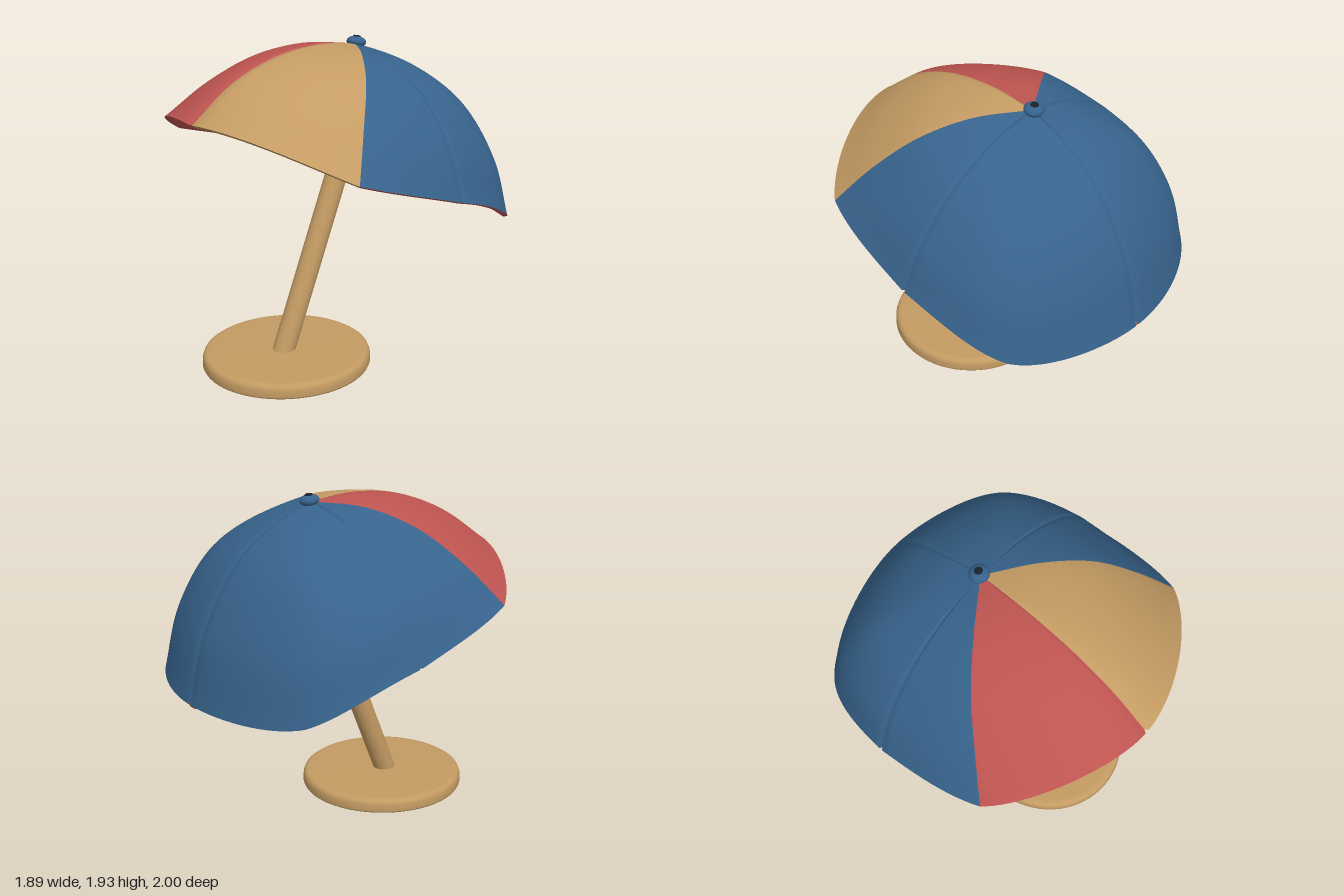
import * as THREE from 'three';

const mat = (name, color) => {
  const m = new THREE.MeshStandardMaterial({ color });
  m.name = name;
  return m;
};

export function createModel() {
  const tan = mat('tan', 0xc49b63);
  const red = mat('red', 0xbd5450);
  const blue = mat('blue', 0x37638c);
  const dark = mat('dark lining', 0x182229);
  const palette = [tan, red, blue, dark];
  const TAN = 0, RED = 1, BLUE = 2, DARK = 3;

  const model = new THREE.Group();
  model.name = 'tiltedParasol';
  const add = (name, geometry, material, parent = model) => {
    const mesh = new THREE.Mesh(geometry, material);
    mesh.name = name;
    parent.add(mesh);
    return mesh;
  };

  // Canopy ribs: apex to rim, running front, front side, side, back side, back
  const apex = [0, 1.88, -0.17];
  const halfRibs = [
    [[0, 1.905, 0.12], [0, 1.865, 0.45], [0, 1.75, 0.75], [0, 1.57, 1]],
    [[0.27, 1.865, 0.02], [0.5, 1.765, 0.2], [0.69, 1.57, 0.39], [0.85, 1.34, 0.56]],
    [[0.3, 1.82, -0.17], [0.6, 1.65, -0.16], [0.82, 1.4, -0.14], [0.945, 1.13, -0.12]],
    [[0.27, 1.77, -0.37], [0.52, 1.56, -0.54], [0.68, 1.22, -0.67], [0.75, 0.87, -0.73]],
    [[0, 1.79, -0.41], [0, 1.6, -0.67], [0, 1.24, -0.89], [0, 0.83, -1]],
  ];
  const mirrored = [3, 2, 1].map(k => halfRibs[k].map(([x, y, z]) => [-x, y, z]));
  const ribs = [...halfRibs, ...mirrored].map(points =>
    new THREE.CatmullRomCurve3([apex, ...points].map(p => new THREE.Vector3(...p))));

  // Canopy surface: rounded panels, flatter front side panels, narrow sunken seams
  const ROWS = 40, PER = 24, COLS = PER * 8;
  const centre = new THREE.Vector3(0, 1.25, -0.05);
  const outer = [];
  for (let i = 0; i <= ROWS; i++) {
    const t = i / ROWS;
    const tips = ribs.map(r => r.getPointAt(t));
    const ring = new THREE.CatmullRomCurve3(tips, true);
    const row = [];
    for (let j = 0; j < COLS; j++) {
      const seam = j % (2 * PER);
      // Columns beside a seam sit close to it
      const u = seam === 1 ? j - 0.6 : seam === 2 * PER - 1 ? j + 0.6 : j;
      const panel = Math.floor(u / PER), f = (u % PER) / PER;
      const p = i === 0 ? new THREE.Vector3(...apex) : ring.getPoint(u / COLS);
      if (panel === 1 || panel === 6) {
        p.lerp(tips[panel].clone().lerp(tips[panel + 1], f), 0.55);
      }
      // Rim arches slightly between the rib tips at front and side back
      const lift = [0.03, 0, 0.025, 0, 0, 0.025, 0, 0.03][panel];
      p.y += lift * Math.sin(Math.PI * f) * t ** 4;
      if (i > 0 && seam === 0) p.lerp(centre, 0.018);
      row.push(p);
    }
    outer.push(row);
  }
  const inner = outer.map(row => row.map(p => p.clone().lerp(centre, 0.052)));

  // Closed ring surface from rows of points, coloured per quad
  const surface = (rows, flip, colourOf) => {
    const positions = rows.flat().flatMap(p => [p.x, p.y, p.z]);
    const faces = palette.map(() => []);
    for (let i = 0; i < rows.length - 1; i++) {
      for (let j = 0; j < COLS; j++) {
        const k = (j + 1) % COLS;
        const a = i * COLS + j, b = a + COLS, c = i * COLS + k, d = c + COLS;
        const list = faces[colourOf((j + 0.5) / PER, (i + 0.5) / (rows.length - 1))];
        if (flip) list.push(a, c, b, c, d, b);
        else list.push(a, b, c, c, b, d);
      }
    }
    const g = new THREE.BufferGeometry();
    g.setAttribute('position', new THREE.Float32BufferAttribute(positions, 3));
    g.setIndex(faces.flat());
    let start = 0;
    faces.forEach((f, m) => {
      if (f.length) g.addGroup(start, f.length, m);
      start += f.length;
    });
    g.computeVertexNormals();
    return g;
  };

  // Outer cloth: tan and red front panels, blue elsewhere
  const clothColour = panel => (panel < 1 ? TAN : panel > 7 ? RED : BLUE);
  add('canopyCloth', surface(outer, false, clothColour), palette);

  // Lining: dark, with coloured front panels, red side hems and uneven patches
  const liningColour = (panel, t) => {
    if (panel < 1) return panel > 0.2 && t > 1.02 - 0.4 * panel ? RED : TAN;
    if (panel > 7) {
      const inPatch = panel > 7.15 && panel < 7.6 && t < 0.95 && t > 0.82 + (panel - 7.15) * 0.2;
      return inPatch ? DARK : RED;
    }
    if (t > 0.97 && Math.abs(panel - 4) > 1) return RED;
    const patchTop = 0.79 + Math.max(0, panel - 3) * 0.42;
    return panel > 2 && panel < 4 && t > patchTop ? RED : DARK;
  };
  add('canopyLining', surface(inner, true, liningColour), palette);

  // Rolled red rim closing the cloth and lining, tan on the outer front left
  const roll = outer[ROWS].map((p, j) => {
    const mid = p.clone().lerp(inner[ROWS][j], 0.5);
    mid.y -= 0.012;
    return mid;
  });
  const rimColour = (panel, t) => (panel < 1 && t < 0.5 ? TAN : RED);
  add('canopyRim', surface([outer[ROWS], roll, inner[ROWS]], false, rimColour), palette);

  // Small hanging fold at the back rib tip
  const fold = add('backRimFold', new THREE.SphereGeometry(0.025, 20, 12).scale(2.4, 1, 1), red);
  fold.position.set(0, 0.828, -0.967);

  // Finial on the apex
  const finial = new THREE.Group();
  finial.name = 'finial';
  finial.position.set(0, 1.888, -0.18);
  finial.rotation.x = -0.15;
  model.add(finial);
  add('finialKnob', new THREE.SphereGeometry(0.058, 24, 12).scale(1, 0.58, 1), blue, finial);
  const button = add('finialButton', new THREE.CylinderGeometry(0.02, 0.026, 0.01, 16), dark, finial);
  button.position.y = 0.032;

  // Leaning pole, red near the top
  const poleAt = y => new THREE.Vector3(0, y, 0.395 - (y - 0.08) * 0.41);
  const pole = (name, y0, y1, material) => {
    const a = poleAt(y0), b = poleAt(y1);
    const mesh = add(name, new THREE.CylinderGeometry(0.067, 0.067, a.distanceTo(b), 32), material);
    mesh.position.copy(a).lerp(b, 0.5);
    mesh.quaternion.setFromUnitVectors(new THREE.Vector3(0, 1, 0), b.sub(a).normalize());
  };
  pole('pole', 0.04, 1.4, tan);
  pole('poleTop', 1.4, 1.78, red);

  // Slightly oval base with a softened upper edge
  const profile = [[0, 0], [0.495, 0], [0.5, 0.01], [0.498, 0.05], [0.49, 0.07], [0.475, 0.08], [0.45, 0.082], [0, 0.082]];
  const base = add('base', new THREE.LatheGeometry(profile.map(p => new THREE.Vector2(...p)), 64).scale(1, 1, 1.03), tan);
  base.position.z = 0.375;

  return model;
}
